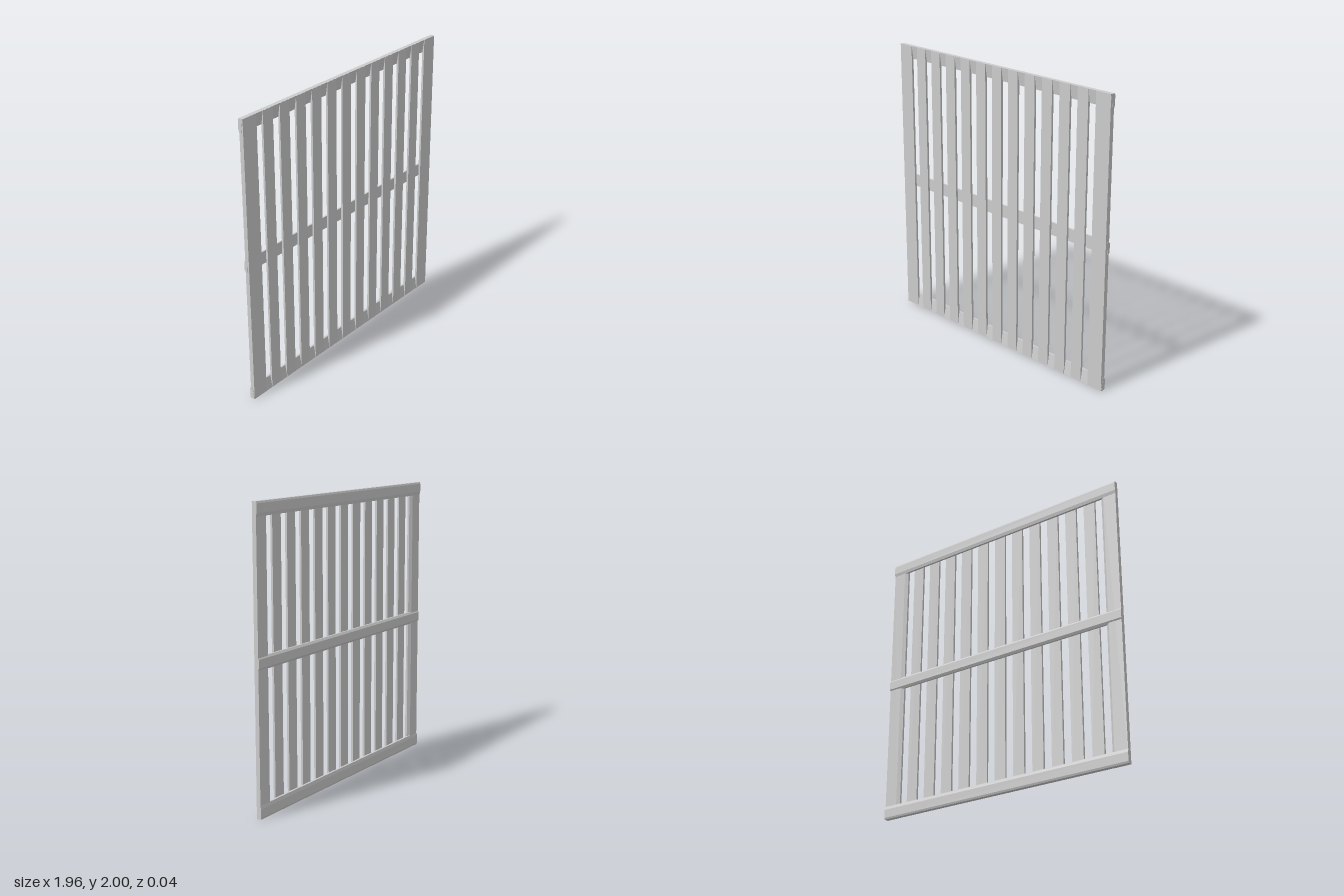
import * as THREE from 'three';

export function createModel() {
  const group = new THREE.Group();
  const material = new THREE.MeshStandardMaterial({ color: 0xcccccc, flatShading: true });

  const HALF = 0.978, FRONT = 0.018, BACK = -0.018;

  const add = (name, geometry, x = 0, y = 0, z = 0) => {
    const mesh = new THREE.Mesh(geometry, material);
    mesh.name = name;
    mesh.position.set(x, y, z);
    group.add(mesh);
    return mesh;
  };

  const extrude = (points, depth) => new THREE.ExtrudeGeometry(
    new THREE.Shape(points.map(([a, b]) => new THREE.Vector2(a, b))),
    { depth, bevelEnabled: false });

  // Rail running along x; the section is given as [z, y]
  const rail = (name, section) => {
    const geometry = extrude(section.map(([z, y]) => [-z, y]), HALF * 2);
    geometry.rotateY(Math.PI / 2);
    add(name, geometry, -HALF);
  };

  // Top and bottom rails lean in from the front edge, and are bevelled behind
  const edgeSection = [[FRONT - 0.001, 0], [-0.013, 0], [BACK, 0.012], [BACK, 0.07], [-0.012, 0.092], [0.003, 0.092]];
  rail('bottomRail', edgeSection);
  rail('topRail', edgeSection.map(([z, y]) => [z, 2 - y]));
  rail('middleRail', [[0.003, 0.96], [-0.008, 0.96], [BACK, 0.975], [BACK, 1.033], [-0.008, 1.048], [0.003, 1.048]]);

  // Side stiles, with the inner edge bevelled towards the back
  for (const side of [-1, 1]) {
    const section = [[0.976, FRONT], [0.858, FRONT], [0.858, 0.003], [0.88, -0.012], [0.976, -0.012]];
    const geometry = extrude(section.map(([x, z]) => [side * x, -z]), 2);
    geometry.rotateX(-Math.PI / 2);
    add(side > 0 ? 'leftStile' : 'rightStile', geometry);
  }

  // Eleven upright slats on the front of the rails
  for (let i = -5; i <= 5; i++) {
    add('slat', new THREE.BoxGeometry(0.088, 1.998, 0.015), i * 0.151 - 0.002, 1, 0.0105);
  }

  return group;
}
